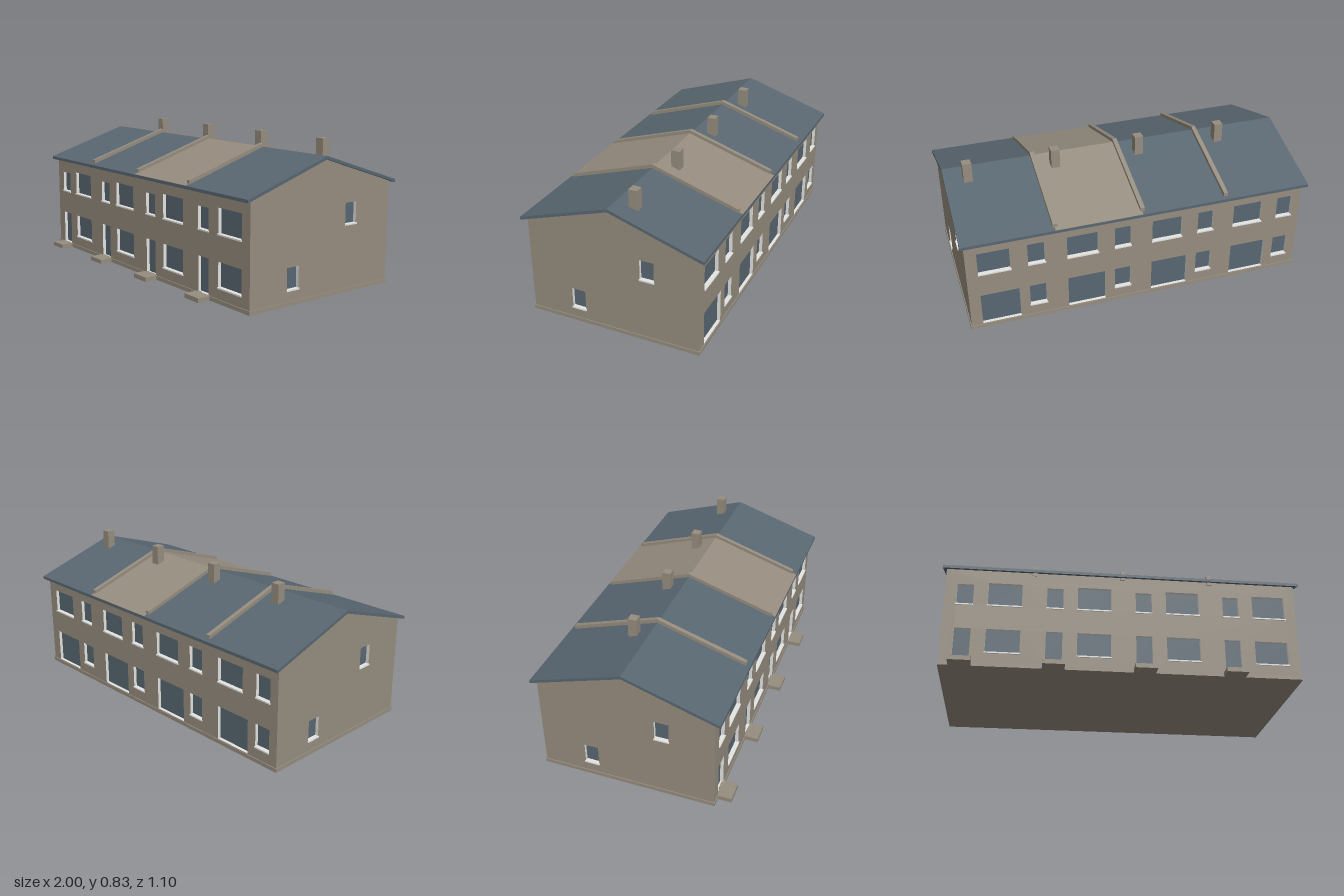
import * as THREE from 'three';

const ZC = -0.0225;            // ridge line / middle of the walls
const HX = 0.98, HZ = 0.4925;  // half size of the walls
const T = 0.02;                // wall panel thickness
const SLOPE = 0.32, PITCH = 0.492;
const UNITS = [0, 1, 2, 3].map(i => -0.738 + i * PITCH);

const material = (name, color) => {
  const m = new THREE.MeshStandardMaterial({ color });
  m.name = name;
  return m;
};

export function createModel() {
  const masonry = material('masonry', 0x968d7f);
  const slate = material('slate', 0x596771);
  const white = material('white trim', 0xe4e4e2);

  const model = new THREE.Group();
  model.name = 'terracedHouses';

  const add = (parent, name, geometry, mat, x = 0, y = 0, z = 0) => {
    const mesh = new THREE.Mesh(geometry, mat);
    mesh.name = name;
    mesh.position.set(x, y, z);
    parent.add(mesh);
    return mesh;
  };
  // Box given by its limits
  const block = (parent, name, mat, x0, x1, y0, y1, z0, z1) =>
    add(parent, name, new THREE.BoxGeometry(x1 - x0, y1 - y0, z1 - z0), mat,
      (x0 + x1) / 2, (y0 + y1) / 2, (z0 + z1) / 2);
  const polygon = pts => new THREE.Shape(pts.map(p => new THREE.Vector2(...p)));

  // Wall panel with recessed openings { x0, x1, y0, y1, sill }; outer face at local z = 0
  function wall(name, outline, openings, x, z, turn) {
    const group = new THREE.Group();
    group.name = name;
    group.position.set(x, 0, z);
    group.rotation.y = turn;
    const shape = polygon(outline);
    for (const { x0, x1, y0, y1, sill } of openings) {
      shape.holes.push(new THREE.Path([[x0, y0], [x0, y1], [x1, y1], [x1, y0]]
        .map(p => new THREE.Vector2(...p))));
      block(group, 'pane', slate, x0 - 0.004, x1 + 0.004, y0 - 0.004, y1 + 0.004, -T - 0.005, -T + 0.001);
      if (sill) block(group, 'sill', white, x0 - 0.003, x1 + 0.003, y0 - 0.007, y0 + 0.001, -T, 0.006);
    }
    const geo = new THREE.ExtrudeGeometry(shape, { depth: T, bevelEnabled: false });
    add(group, 'panel', geo, [masonry, white], 0, 0, -T);
    model.add(group);
  }

  const opening = (x0, x1, y0, y1, sill = true) => ({ x0, x1, y0, y1, sill });
  const front = [], back = [];
  for (const c of UNITS) {
    front.push(
      opening(c - 0.177, c - 0.087, 0.025, 0.22, false),
      opening(c - 0.007, c + 0.178, 0.085, 0.22),
      opening(c - 0.177, c - 0.087, 0.365, 0.485),
      opening(c - 0.007, c + 0.178, 0.365, 0.5));
    back.push(
      opening(-c - 0.178, -c + 0.04, 0.025, 0.22, false),
      opening(-c + 0.095, -c + 0.19, 0.09, 0.22),
      opening(-c - 0.178, -c, 0.365, 0.5),
      opening(-c + 0.095, -c + 0.19, 0.37, 0.5));
  }
  const gable = [opening(0.1625, 0.2425, 0.372, 0.487), opening(-0.2475, -0.1675, 0.083, 0.2)];

  const w = HX - T, d = HZ - T, eave = 0.576;
  const longOutline = [[-w, 0.002], [w, 0.002], [w, eave], [-w, eave]];
  const gableOutline = [[-d, 0.002], [d, 0.002], [d, 0.738 - d * SLOPE], [0, 0.738], [-d, 0.738 - d * SLOPE]];
  wall('frontWall', longOutline, front, 0, ZC + HZ, 0);
  wall('backWall', longOutline, back, 0, ZC - HZ, Math.PI);
  wall('leftGable', gableOutline, gable, HX, ZC, Math.PI / 2);
  wall('rightGable', gableOutline, gable, -HX, ZC, -Math.PI / 2);

  // Corners that join the panels
  for (const sx of [-1, 1]) for (const sz of [-1, 1])
    add(model, 'wallCorner', new THREE.BoxGeometry(T, eave, T), masonry,
      sx * (HX - T / 2), eave / 2, ZC + sz * (HZ - T / 2));

  // Plinth and front steps
  block(model, 'plinth', masonry, -0.985, 0.985, 0, 0.022, ZC - HZ - 0.005, ZC + HZ + 0.005);
  for (const c of UNITS)
    block(model, 'doorStep', masonry, c - 0.192, c - 0.072, 0, 0.025, 0.46, 0.55);

  // Chevron-section strip running along x from x0 to x1
  function chevron(name, mat, x0, x1, half, top, thick) {
    const e = top - half * SLOPE;
    const shape = polygon([[-half, e - thick], [0, top - thick], [half, e - thick],
      [half, e], [0, top], [-half, e]]);
    const geo = new THREE.ExtrudeGeometry(shape, { depth: x1 - x0, bevelEnabled: false });
    geo.rotateY(Math.PI / 2);
    add(model, name, geo, mat, x0, 0, ZC);
  }

  // Roof, with one house re-covered in a lighter colour
  chevron('roof', slate, -1, 1, 0.525, 0.75, 0.017);
  chevron('paleRoofCover', masonry, 0, 0.492, 0.525, 0.752, 0.002);

  // Raised party walls between the houses
  for (let i = 0; i < 3; i++) {
    const x = -0.4955 + i * PITCH;
    chevron('partyWall', masonry, x - 0.0125, x + 0.0125, 0.503, 0.771, 0.055);
  }

  // Chimneys on the rear slope
  for (const c of UNITS)
    block(model, 'chimney', masonry, c + 0.108, c + 0.158, 0.68, 0.826, -0.14, -0.09);

  return model;
}
